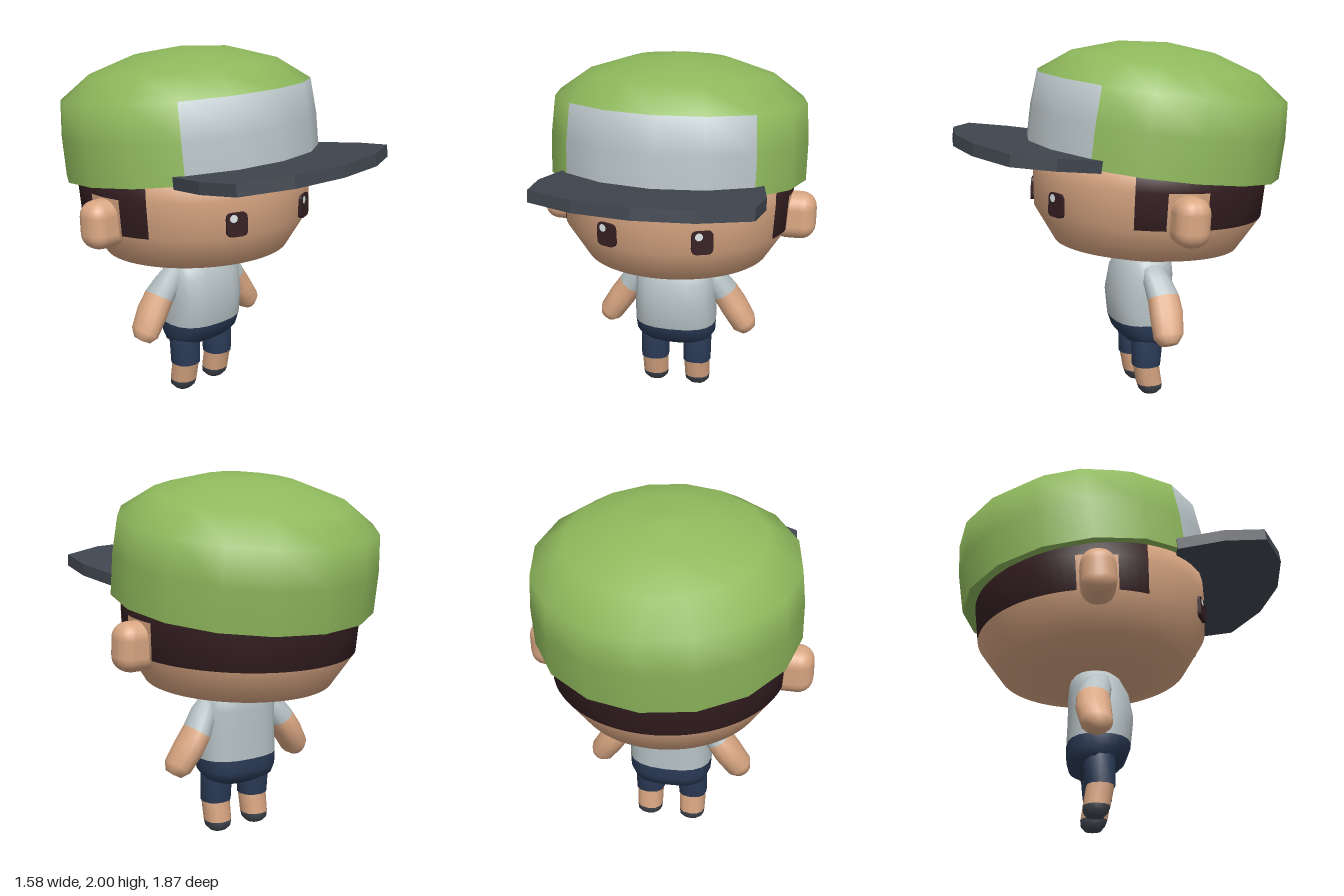
import * as THREE from 'three';
import { mergeVertices } from 'three/addons/utils/BufferGeometryUtils.js';
import { RoundedBoxGeometry } from 'three/addons/geometries/RoundedBoxGeometry.js';

const mat = (name, color) => {
  const m = new THREE.MeshStandardMaterial({ color });
  m.name = name;
  return m;
};

export function createModel() {
  const skin = mat('skin', 0xdaa783);
  const hairBrown = mat('hairBrown', 0x351f22);
  const green = mat('capGreen', 0x8fb95c);
  const grey = mat('clothGrey', 0xb6c1c4);
  const navy = mat('shortsNavy', 0x2a3a56);
  const dark = mat('visorDark', 0x40464f);
  const white = mat('eyeWhite', 0xe4eaee);

  const model = new THREE.Group();
  model.name = 'figure';

  const add = (parent, name, geo, material) => {
    const mesh = new THREE.Mesh(geo, material);
    mesh.name = name;
    parent.add(mesh);
    return mesh;
  };
  const group = (name, x, y, z) => {
    const g = new THREE.Group();
    g.name = name;
    g.position.set(x, y, z);
    model.add(g);
    return g;
  };

  // Sorts the cells of a lathe into one material group per colour; pick(i, j) = segment, ring
  const paint = (geo, rings, count, pick) => {
    const buckets = Array.from({ length: count }, () => []);
    const index = geo.index.array;
    for (let k = 0; k * 6 < index.length; k++) {
      const i = Math.floor(k / (rings - 1)), j = k % (rings - 1);
      buckets[pick(i, j)].push(...index.slice(k * 6, k * 6 + 6));
    }
    geo.setIndex(buckets.flat());
    geo.clearGroups();
    let start = 0;
    buckets.forEach((b, m) => {
      geo.addGroup(start, b.length, m);
      start += b.length;
    });
    return geo;
  };

  const lathe = (points, segs) =>
    new THREE.LatheGeometry(points.map(([r, y]) => new THREE.Vector2(r, y)), segs);

  // Smooth loft through rings [y, halfWidth, halfDepth, centreZ], bottom to top
  const loft = (rings, segs, power, count, pick) => {
    let geo = lathe(rings.map(([y]) => [1, y]), segs);
    const pos = geo.attributes.position;
    const soft = (v) => Math.sign(v) * Math.abs(v) ** power;
    for (let k = 0; k < pos.count; k++) {
      const [y, hx, hz, cz] = rings[k % rings.length];
      const a = (Math.floor(k / rings.length) % segs) / segs * Math.PI * 2;
      pos.setXYZ(k, hx * soft(Math.sin(a)), y, cz + hz * soft(Math.cos(a)));
    }
    geo.deleteAttribute('normal');
    geo.deleteAttribute('uv');
    geo = mergeVertices(geo, 1e-5);
    geo.computeVertexNormals();
    return paint(geo, rings.length, count, pick);
  };

  // Head with a hair band that leaves the face and ear notches bare
  const head = group('head', 0, 1, -0.15);
  head.rotation.x = -0.05;
  const headProfile = [
    [0, -0.2], [0.29, -0.185], [0.52, -0.125], [0.642, 0.065],
    [0.655, 0.265], [0.655, 0.38], [0.5, 0.55], [0, 0.6],
  ];
  add(head, 'headAndHair', paint(lathe(headProfile, 72), headProfile.length, 2, (i, j) => {
    const deg = (i + 0.5) * 5, a = Math.min(deg, 360 - deg);
    if (j < 3 || a < 65) return 0;
    return j === 3 && a > 80 && a < 100 ? 0 : 1;
  }), [skin, hairBrown]);

  // Eyes with a small highlight, and ears
  const eyeShape = new THREE.Shape();
  const ew = 0.058, eh = 0.065, er = 0.03;
  eyeShape.moveTo(-ew + er, -eh);
  eyeShape.lineTo(ew - er, -eh).quadraticCurveTo(ew, -eh, ew, -eh + er);
  eyeShape.lineTo(ew, eh - er).quadraticCurveTo(ew, eh, ew - er, eh);
  eyeShape.lineTo(-ew + er, eh).quadraticCurveTo(-ew, eh, -ew, eh - er);
  eyeShape.lineTo(-ew, -eh + er).quadraticCurveTo(-ew, -eh, -ew + er, -eh);
  const eyeGeo = new THREE.ExtrudeGeometry(eyeShape, { depth: 0.035, bevelEnabled: false, curveSegments: 4 });
  const glintGeo = new THREE.CircleGeometry(0.022, 10);
  const earGeo = new RoundedBoxGeometry(0.25, 0.265, 0.19, 3, 0.085);
  for (const s of [1, -1]) {
    const side = s > 0 ? 'left' : 'right';
    const phi = 0.405 * s;
    const eye = new THREE.Group();
    eye.name = side + 'Eye';
    eye.position.set(Math.sin(phi) * 0.628, 0.135, Math.cos(phi) * 0.628);
    eye.rotation.y = phi;
    head.add(eye);
    add(eye, 'pupil', eyeGeo, hairBrown);
    add(eye, 'glint', glintGeo, white).position.set(-0.02, 0.035, 0.037);
    add(head, side + 'Ear', earGeo, skin).position.set(0.665 * s, 0.125, 0);
  }

  // Cap: straight wall, low dome, pale front panel
  const cap = group('cap', 0, 1.75, -0.235);
  cap.rotation.x = -0.135;
  const capProfile = [
    [0.63, -0.42], [0.72, -0.428], [0.72, -0.428], [0.722, -0.2], [0.705, 0],
    [0.527, 0.13], [0.27, 0.214], [0, 0.24],
  ];
  add(cap, 'crown', paint(lathe(capProfile, 16), capProfile.length, 2,
    (i, j) => ((j === 2 || j === 3) && (i < 2 || i > 13) ? 1 : 0)), [green, grey]);

  // Flat visor
  const outline = [
    [0, 1.125], [0.31, 1.08], [0.575, 0.945], [0.598, 0.71], [0.55, 0.46],
    [0.47, 0.46], [0.26, 0.62], [0, 0.66],
  ];
  const mirrored = outline.slice(1, -1).reverse().map(([x, z]) => [-x, z]);
  const visorShape = new THREE.Shape([...outline, ...mirrored].map(([x, z]) => new THREE.Vector2(x, z)));
  const visorGeo = new THREE.ExtrudeGeometry(visorShape, { depth: 0.065, bevelEnabled: false });
  visorGeo.rotateX(Math.PI / 2);
  add(cap, 'visor', visorGeo, dark).position.y = -0.375;

  // Torso: shorts below, shirt above
  add(model, 'torso', loft([
    [0.265, 0, 0, -0.14], [0.275, 0.13, 0.07, -0.14], [0.31, 0.205, 0.13, -0.14],
    [0.36, 0.232, 0.162, -0.122], [0.43, 0.237, 0.175, -0.11], [0.58, 0.237, 0.18, -0.1],
    [0.71, 0.233, 0.167, -0.113], [0.785, 0.21, 0.143, -0.13], [0.83, 0.16, 0.1, -0.14],
    [0.835, 0, 0, -0.14],
  ], 20, 0.8, 2, (i, j) => (j < 4 ? 0 : 1)), [navy, grey]);

  // Arms with short sleeves
  const armGeo = loft([
    [-0.44, 0, 0, -0.015], [-0.435, 0.045, 0.05, -0.015], [-0.39, 0.072, 0.085, -0.018],
    [-0.27, 0.078, 0.095, -0.03], [-0.17, 0.075, 0.09, -0.03], [-0.07, 0.07, 0.08, -0.01],
    [0, 0.052, 0.062, 0], [0.03, 0, 0, 0],
  ], 12, 0.9, 2, (i, j) => (j < 4 ? 0 : 1));

  // Legs: shoe, shin, short leg
  const legGeo = loft([
    [0, 0, 0, -0.13], [0.003, 0.048, 0.045, -0.13], [0.025, 0.07, 0.065, -0.13],
    [0.058, 0.075, 0.073, -0.125], [0.17, 0.078, 0.074, -0.106], [0.171, 0.083, 0.08, -0.106],
    [0.32, 0.085, 0.088, -0.113], [0.37, 0.075, 0.08, -0.12],
  ], 12, 0.85, 3, (i, j) => (j < 3 ? 0 : j < 4 ? 1 : 2));

  for (const s of [1, -1]) {
    const side = s > 0 ? 'left' : 'right';
    const arm = add(model, side + 'Arm', armGeo, [skin, grey]);
    arm.position.set(0.19 * s, 0.745, -0.125);
    arm.rotation.z = 0.58 * s;
    add(model, side + 'Leg', legGeo, [dark, skin, navy]).position.x = 0.127 * s;
  }

  return model;
}
